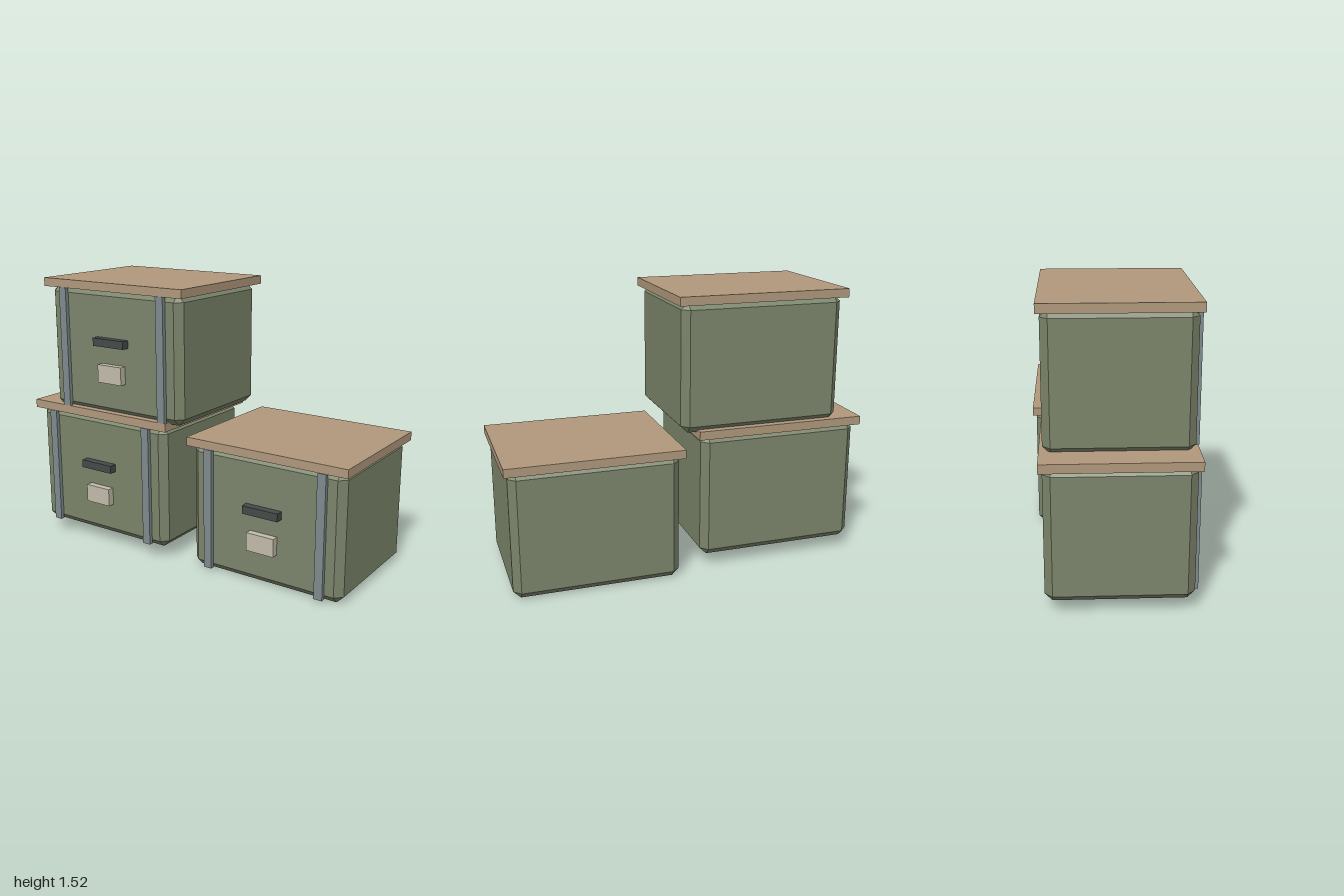
import * as THREE from 'three';
import { ConvexGeometry } from 'three/addons/geometries/ConvexGeometry.js';

const mat = (name, color) => {
  const m = new THREE.MeshStandardMaterial({ color });
  m.name = name;
  return m;
};

// Box with every edge and corner cut flat, standing on y = 0
function chamferBox(w, h, d, c) {
  const pts = [];
  for (const x of [-1, 1]) for (const y of [-1, 1]) for (const z of [-1, 1]) {
    const [X, Y, Z] = [w / 2, h / 2, d / 2];
    pts.push(
      new THREE.Vector3(x * X, y * (Y - c), z * (Z - c)),
      new THREE.Vector3(x * (X - c), y * Y, z * (Z - c)),
      new THREE.Vector3(x * (X - c), y * (Y - c), z * Z));
  }
  return new ConvexGeometry(pts).translate(0, h / 2, 0);
}

export function createModel() {
  const green = mat('olive green', 0x7b846a);
  const tan = mat('tan lid', 0xb0987c);
  const steel = mat('grey steel', 0x7f8b8e);
  const dark = mat('dark handle', 0x454a49);
  const cream = mat('cream label', 0xc1bba9);
  const bodyGeometry = chamferBox(0.905, 0.7, 0.734, 0.039);

  function crate(name, x, y, z) {
    const g = new THREE.Group();
    g.name = name;
    g.position.set(x, y, z);
    const add = (part, geometry, material, px = 0, py = 0, pz = 0) => {
      const m = new THREE.Mesh(geometry, material);
      m.name = part;
      m.position.set(px, py, pz);
      g.add(m);
    };
    const box = (w, h, d) => new THREE.BoxGeometry(w, h, d);
    add('body', bodyGeometry, green);
    add('lid', box(0.952, 0.047, 0.77), tan, 0, 0.711, 0);
    // Two upright straps on the front
    for (const s of [-1, 1])
      add(s > 0 ? 'leftStrap' : 'rightStrap', box(0.048, 0.672, 0.022), steel, s * 0.337, 0.352, 0.379);
    add('handle', box(0.212, 0.044, 0.045), dark, 0, 0.412, 0.3875);
    add('label', box(0.163, 0.1, 0.04), cream, 0, 0.238, 0.385);
    return g;
  }

  const model = new THREE.Group();
  model.name = 'crateStack';
  model.add(
    crate('lowerRightCrate', -0.524, 0.07, 0.016),
    crate('lowerLeftCrate', 0.524, 0, -0.044),
    crate('upperCrate', -0.41, 0.79, 0.016));
  return model;
}
